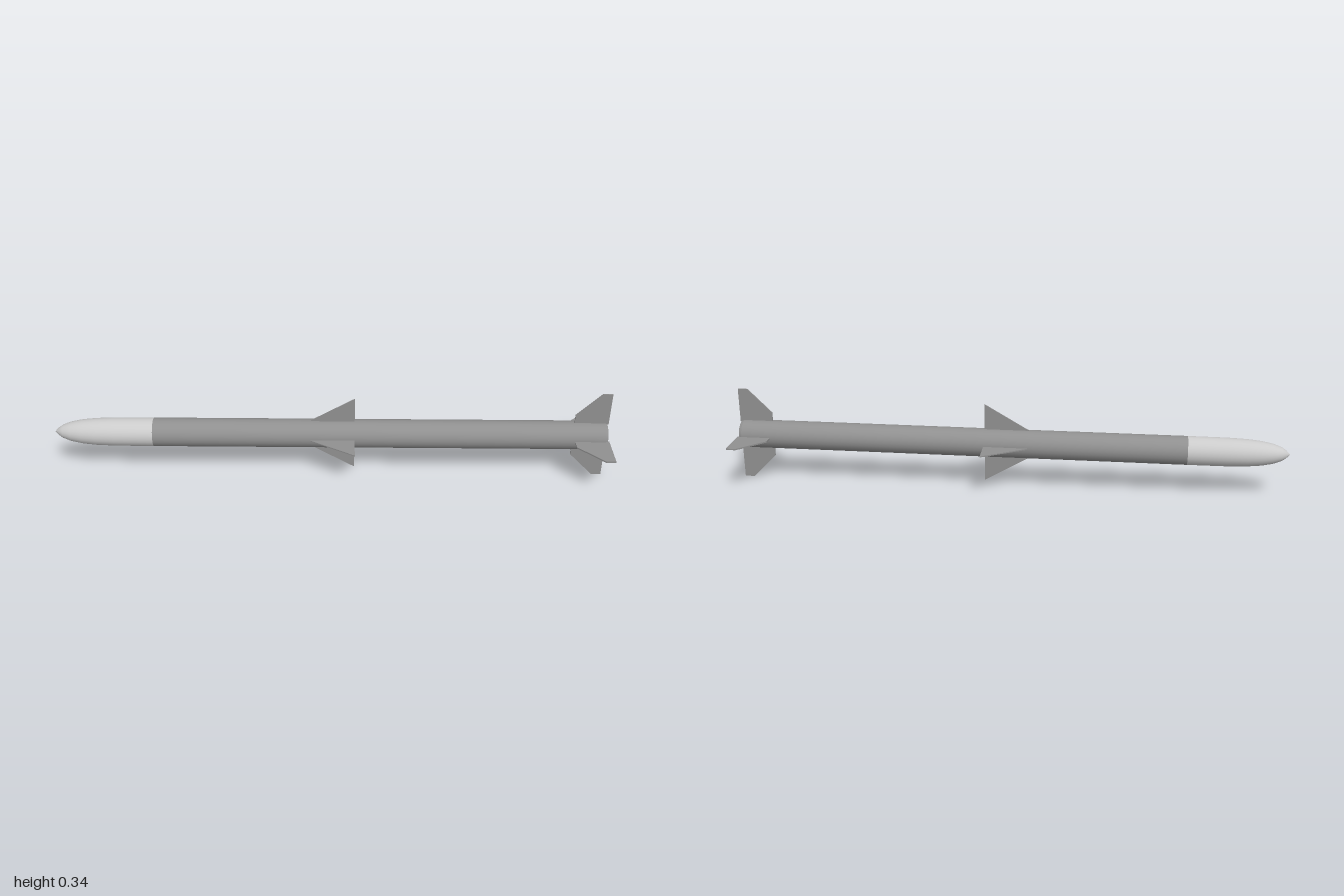
import * as THREE from 'three';

const AXIS_Y = 0.172, SIDES = 24;

export function createModel() {
  const model = new THREE.Group();
  const light = new THREE.MeshStandardMaterial({ color: 0xcccccc });
  const dark = new THREE.MeshStandardMaterial({ color: 0x909090 });

  // Round section from [x, radius] points listed tail to nose
  function round(name, profile, material) {
    const points = profile.map(([x, r]) => new THREE.Vector2(r, -x));
    const geometry = new THREE.LatheGeometry(points, SIDES);
    geometry.rotateZ(Math.PI / 2);
    const mesh = new THREE.Mesh(geometry, material);
    mesh.name = name;
    mesh.position.y = AXIS_Y;
    model.add(mesh);
  }

  round('nose', [[-0.64, 0.052], [-0.78, 0.0515], [-0.85, 0.049], [-0.9, 0.044],
    [-0.94, 0.036], [-0.97, 0.025], [-0.985, 0.015], [-1, 0]], light);
  round('body', [[0.985, 0.052], [-0.64, 0.052]], dark);
  round('tailTaper', [[0.995, 0.049], [0.985, 0.052]], dark);
  round('tailCap', [[0.995, 0], [0.995, 0.049]], dark);

  // Four thin fins around the axis from [x, distance from axis] corners
  function fins(name, corners, thickness) {
    const shape = new THREE.Shape(corners.map(([x, r]) => new THREE.Vector2(x, r)));
    const geometry = new THREE.ExtrudeGeometry(shape, { depth: thickness, bevelEnabled: false });
    geometry.translate(0, 0, -thickness / 2);
    const group = new THREE.Group();
    group.name = name;
    group.position.y = AXIS_Y;
    for (let i = 0; i < 4; i++) {
      const fin = new THREE.Mesh(geometry, dark);
      fin.name = name + (i + 1);
      fin.rotation.x = i * Math.PI / 2;
      group.add(fin);
    }
    model.add(group);
  }

  fins('middleFin', [[-0.07, 0.045], [0.088, 0.045], [0.088, 0.146], [-0.07, 0.054]], 0.004);
  fins('tailFin', [[0.878, 0.04], [1, 0.047], [1, 0.172], [0.965, 0.172], [0.878, 0.084]], 0.005);

  return model;
}
